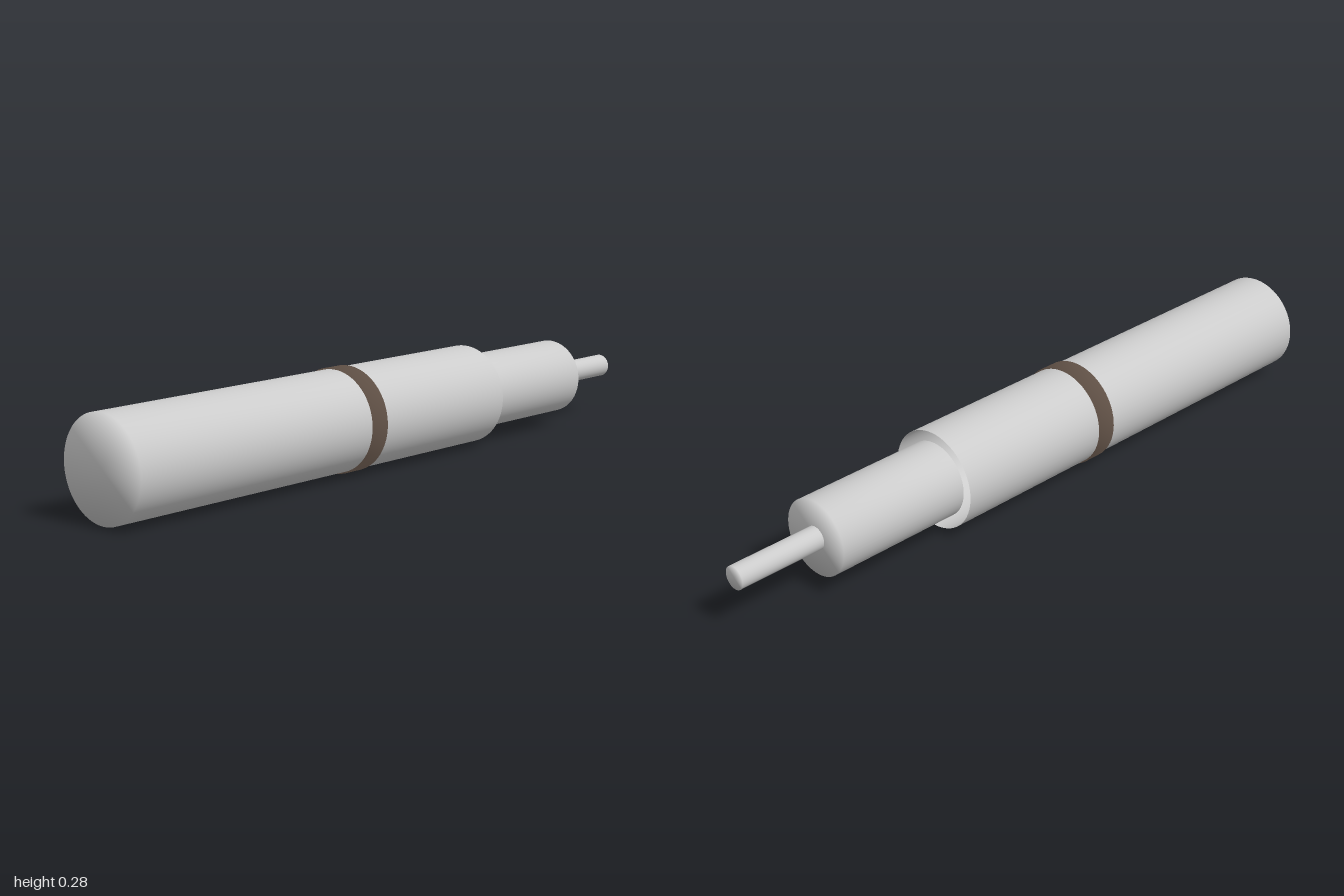
import * as THREE from 'three';

// Turned part along x; profile is a list of [x, radius], from left to right
function turned(name, profile, color = 0xcccccc) {
  const points = profile.map(([x, r]) => new THREE.Vector2(r, x));
  const geometry = new THREE.LatheGeometry(points, 64);
  geometry.rotateZ(-Math.PI / 2);
  const material = new THREE.MeshStandardMaterial({ color, side: THREE.DoubleSide });
  const mesh = new THREE.Mesh(geometry, material);
  mesh.name = name;
  return mesh;
}

export function createModel() {
  const model = new THREE.Group();
  model.name = 'connector';

  const shaft = new THREE.Group();
  shaft.name = 'shaft';
  // closed, softly shaded end on the left
  shaft.add(turned('mainBody', [[-0.995, 0], [-0.995, 0.137], [-0.2, 0.137]]));
  // solid coloured band
  shaft.add(turned('band', [[-0.202, 0], [-0.202, 0.141], [-0.147, 0.141], [-0.147, 0]], 0x786558));
  // thin sleeve, open towards the right
  shaft.add(turned('sleeve', [[-0.147, 0.137], [0.342, 0.137]]));
  // narrower core and its pin, both with closed right ends
  shaft.add(turned('core', [[0.335, 0.105], [0.743, 0.105], [0.743, 0]]));
  shaft.add(turned('pin', [[0.74, 0.032], [0.998, 0.032], [0.998, 0]]));

  // the whole shaft lies slightly turned on the ground
  shaft.rotation.y = -0.0435;
  shaft.position.set(0, 0.141, 0.011);
  model.add(shaft);
  return model;
}
